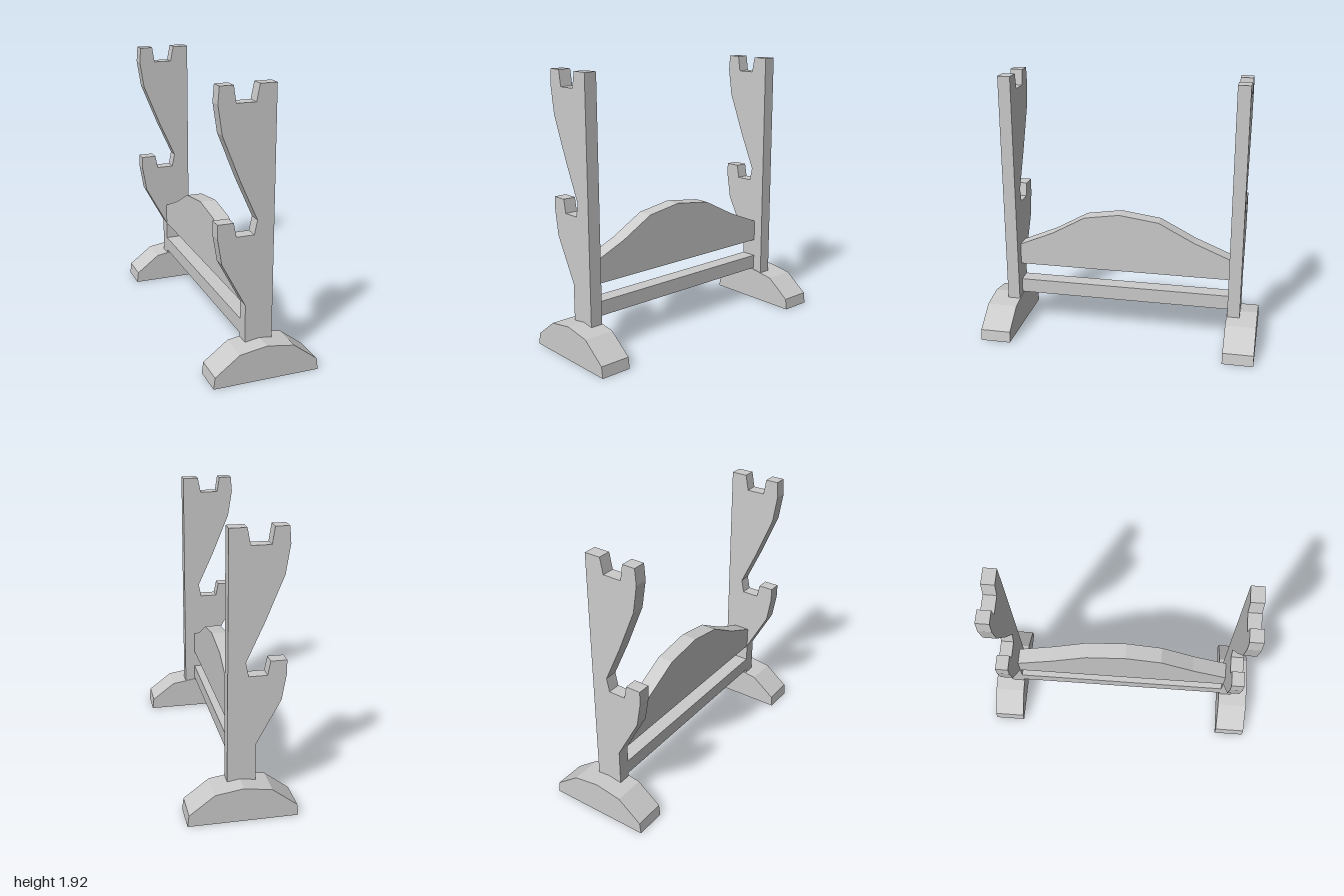
import * as THREE from 'three';

const material = new THREE.MeshStandardMaterial({ color: 0xcccccc, flatShading: true });
const shellMaterial = new THREE.MeshStandardMaterial({ color: 0xcccccc, flatShading: true, side: THREE.DoubleSide });

// Extrude a 2D outline by depth, starting at z = start
function extrude(points, start, depth) {
  const shape = new THREE.Shape(points.map(([x, y]) => new THREE.Vector2(x, y)));
  return new THREE.ExtrudeGeometry(shape, { depth, bevelEnabled: false }).translate(0, 0, start);
}

// Drop the triangles lying on y = 0, leaving the underside open
function openBottom(geometry) {
  const p = geometry.attributes.position;
  const kept = [];
  for (let i = 0; i < p.count; i += 3) {
    if ([0, 1, 2].every(k => Math.abs(p.getY(i + k)) < 1e-4)) continue;
    for (let k = 0; k < 3; k++) kept.push(p.getX(i + k), p.getY(i + k), p.getZ(i + k));
  }
  const open = new THREE.BufferGeometry();
  open.setAttribute('position', new THREE.Float32BufferAttribute(kept, 3));
  open.computeVertexNormals();
  return open;
}

// Upright with two notched hooks
const postOutline = [
  [-0.105, 0.16], [0.085, 0.16], [0.085, 1.92], [-0.028, 1.92], [-0.05, 1.81], [-0.18, 1.81],
  [-0.197, 1.92], [-0.288, 1.92], [-0.297, 1.81], [-0.268, 1.62], [-0.147, 1.32], [-0.03, 1.06],
  [-0.05, 0.965], [-0.172, 0.965], [-0.19, 1.06], [-0.297, 1.06], [-0.297, 0.965],
  [-0.268, 0.79], [-0.105, 0.485],
];
const footOutline = [
  [-0.37, 0], [0.37, 0], [0.36, 0.08], [0.19, 0.21], [0, 0.24], [-0.19, 0.21], [-0.36, 0.08],
];
// Arched board, as (z, y)
const boardOutline = [
  [-0.787, 0.485], [0.787, 0.485], [0.787, 0.64], [0.53, 0.75], [0.29, 0.885], [0.03, 0.925],
  [-0.26, 0.885], [-0.52, 0.75], [-0.787, 0.64],
];

export function createModel() {
  const group = new THREE.Group();
  const add = (name, geometry, mat = material) => {
    const mesh = new THREE.Mesh(geometry, mat);
    mesh.name = name;
    group.add(mesh);
  };

  // Front and back supports
  for (const [end, s] of [['front', 1], ['back', -1]]) {
    add(end + 'Post', extrude(postOutline, s * 0.83 - 0.045, 0.09));
    add(end + 'Foot', openBottom(extrude(footOutline, s * 0.89 - 0.11, 0.22)), shellMaterial);
  }

  // Arched board: outline drawn along z, thickness along x
  const board = extrude(boardOutline.map(([z, y]) => [-z, y]), 0, 0.115);
  add('archedBoard', board.rotateY(Math.PI / 2).translate(-0.105, 0, 0));

  // Lower rail
  add('lowerRail', new THREE.BoxGeometry(0.115, 0.105, 1.574).translate(-0.0475, 0.303, 0));
  return group;
}
